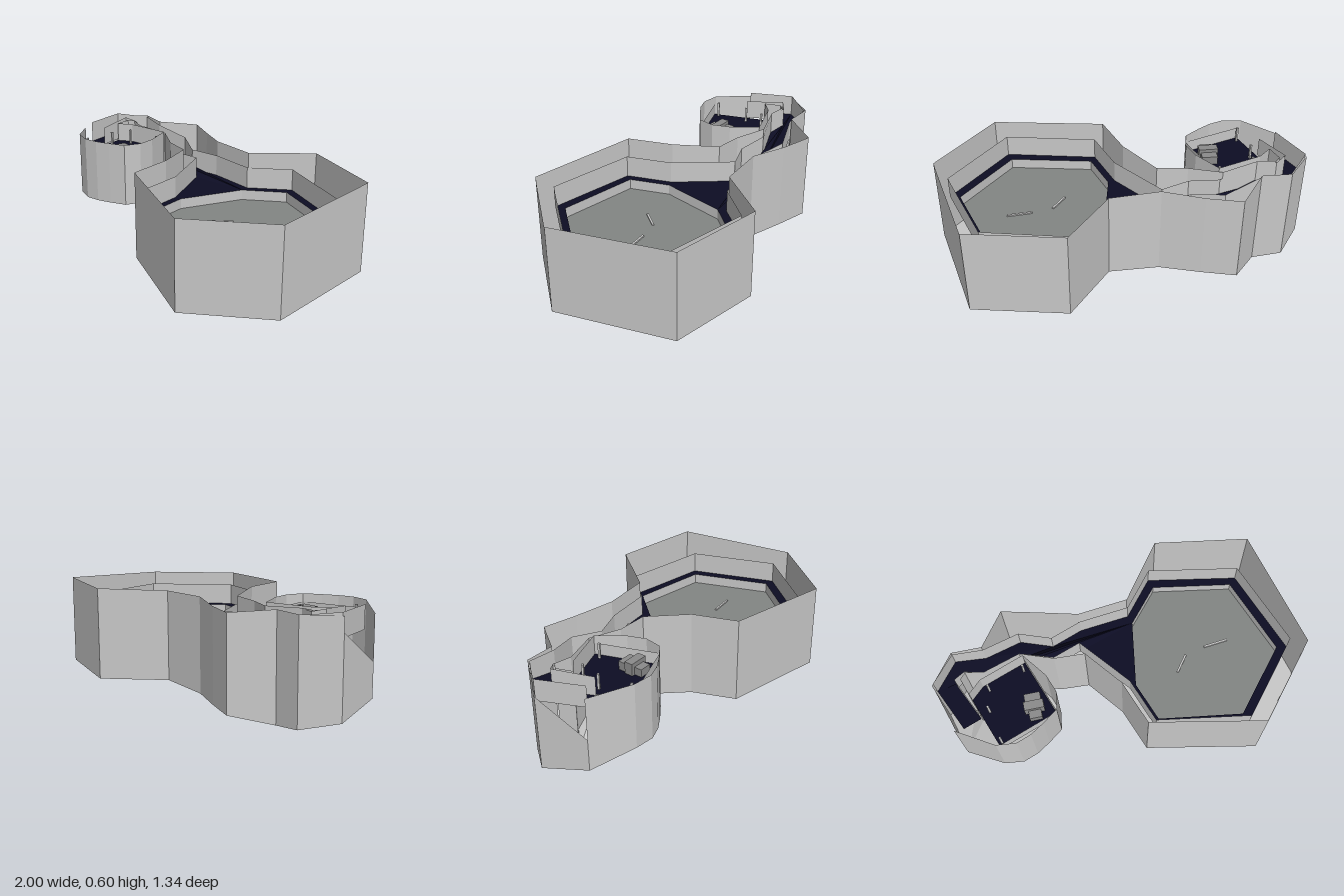
import * as THREE from 'three';

const mat = (name, color) => {
  const m = new THREE.MeshStandardMaterial({ color, flatShading: true, side: THREE.DoubleSide });
  m.name = name;
  return m;
};

// Flat-shaded geometry from a list of [x, y, z] triangle corners
function geoFrom(corners) {
  const g = new THREE.BufferGeometry();
  g.setAttribute('position', new THREE.Float32BufferAttribute(corners.flat(), 3));
  g.computeVertexNormals();
  return g;
}

// Surface over a plan outline; each point is [x, z, y]
function surface(outline, hole = []) {
  const v2 = (list) => list.map((p) => new THREE.Vector2(p[0], p[1]));
  const all = [...outline, ...hole];
  const faces = THREE.ShapeUtils.triangulateShape(v2(outline), hole.length ? [v2(hole)] : []);
  const corners = [];
  for (const [a, b, c] of faces) {
    const [p, q, r] = [all[a], all[b], all[c]];
    const turn = (q[0] - p[0]) * (r[1] - p[1]) - (q[1] - p[1]) * (r[0] - p[0]);
    for (const k of turn < 0 ? [p, q, r] : [p, r, q]) corners.push([k[0], k[2], k[1]]);
  }
  return geoFrom(corners);
}

// Thin upright wall along a plan path; each point is [x, z, low, high]
function wall(path, closed = false) {
  const corners = [];
  const n = closed ? path.length : path.length - 1;
  for (let i = 0; i < n; i++) {
    const [ax, az, al, ah] = path[i];
    const [bx, bz, bl, bh] = path[(i + 1) % path.length];
    corners.push([ax, al, az], [bx, bh, bz], [bx, bl, bz], [ax, al, az], [ax, ah, az], [bx, bh, bz]);
  }
  return geoFrom(corners);
}

export function createModel() {
  const root = new THREE.Group();
  root.name = 'arenaLevel';
  const stone = mat('pale stone', 0xc8c8c8);
  const dark = mat('dark floor', 0x0d0d24);
  const grey = mat('grey floor', 0x838684);
  const crateGrey = mat('crate grey', 0x8c8c8c);
  const add = (name, geometry, material) => {
    const m = new THREE.Mesh(geometry, material);
    m.name = name;
    root.add(m);
    return m;
  };

  // Outer shell: x, z, bottom, top
  const shell = [
    [0.53, -0.565, 0.075, 0.595], [1, -0.3, 0.075, 0.595], [0.93, 0.4, 0.05, 0.565],
    [0.47, 0.665, 0.05, 0.565], [-0.09, 0.33, 0.07, 0.585], [-0.09, 0.06, 0.065, 0.585],
    [-0.17, -0.2, 0.05, 0.57], [-0.33, -0.27, 0.05, 0.565], [-0.48, -0.395, 0.05, 0.57],
    [-0.7, -0.4, 0.0, 0.58], [-0.79, -0.45, 0.02, 0.585], [-0.83, -0.43, 0.05, 0.585],
    [-0.83, -0.33, 0.1, 0.585], [-0.74, -0.37, 0.16, 0.585], [-0.47, -0.37, 0.2, 0.585],
    [-0.42, -0.2, 0.2, 0.585], [-0.42, -0.09, 0.2, 0.585], [-0.47, 0, 0.2, 0.585],
    [-0.57, 0.03, 0.2, 0.585], [-0.66, 0.05, 0.2, 0.585], [-0.75, 0.05, 0.2, 0.585],
    [-0.85, 0, 0.2, 0.585], [-1, -0.2, 0.12, 0.555], [-0.98, -0.48, 0.055, 0.58],
    [-0.8, -0.595, 0.02, 0.585], [-0.64, -0.535, 0.0, 0.585], [-0.44, -0.675, 0.05, 0.57],
    [-0.27, -0.56, 0.05, 0.57], [-0.08, -0.42, 0.05, 0.585], [0.2, -0.35, 0.07, 0.585],
  ];
  const west = shell.findIndex((p) => p[0] === -1);
  add('outerWall', wall([...shell.slice(west + 1), ...shell.slice(0, west + 1)]), stone);
  // The west side is partly open at the top
  add('lowWestWall', wall([[-1, -0.2, 0.12, 0.31], [-0.98, -0.48, 0.055, 0.5]]), stone);
  add('underside', surface(shell.map(([x, z, low]) => [x, z, low])), stone);

  // Dark walkway around the pit, rising along the passage to the small room
  const level = (x) => 0.37 + 0.1 * THREE.MathUtils.clamp((-0.3 - x) / 0.5, 0, 1);
  const raise = ([x, z]) => [x, z, level(x)];
  const walkway = [
    [-0.95, -0.21], [-0.97, -0.48], [-0.8, -0.585], [-0.64, -0.525], [-0.42, -0.525],
    [-0.27, -0.41], [-0.08, -0.41], [0.2, -0.34], [0.43, -0.475], [0.88, -0.21], [0.88, 0.32],
    [0.43, 0.58], [-0.03, 0.32], [-0.03, 0.05], [-0.15, -0.3], [-0.32, -0.3], [-0.46, -0.4],
    [-0.7, -0.4], [-0.79, -0.46], [-0.86, -0.44], [-0.84, -0.21],
  ];
  const pit = [
    [0.2, -0.29], [0.43, -0.42], [0.83, -0.19], [0.83, 0.29],
    [0.43, 0.52], [0.01, 0.29], [0.01, 0.05],
  ];
  add('walkway', surface(walkway.map(raise), pit.map(raise)), dark);
  add('innerWall', wall(walkway.map(([x, z]) => [x, z, level(x), Math.min(level(x) + 0.127, x < -0.85 ? 0.6 : 0.58)])), stone);

  // Sunken hexagonal pit
  add('pitFloor', surface(pit.map(([x, z]) => [x, z, 0.31])), grey);
  add('pitWall', wall(pit.map(([x, z]) => [x, z, 0.31, 0.37]), true), stone);

  // Pale strips on the pit floor
  for (const [ax, az, bx, bz] of [[0.27, 0.095, 0.37, 0.03], [0.49, 0.045, 0.63, 0.08]]) {
    const strip = add('floorStrip', new THREE.BoxGeometry(Math.hypot(bx - ax, bz - az), 0.008, 0.012), stone);
    strip.position.set((ax + bx) / 2, 0.315, (az + bz) / 2);
    strip.rotation.y = -Math.atan2(bz - az, bx - ax);
  }

  // Small room with its back wall and posts
  const room = [[-0.83, -0.2], [-0.83, 0], [-0.47, 0], [-0.47, -0.37], [-0.74, -0.37], [-0.83, -0.33]];
  add('roomFloor', surface(room.map(([x, z]) => [x, z, 0.47])), dark);
  add('roomWall', wall(room.slice(1).map(([x, z]) => [x, z, 0.47, 0.54])), stone);
  for (const [x, z] of [[-0.81, -0.03], [-0.72, -0.33], [-0.5, -0.33], [-0.78, -0.22]]) {
    add('roomPost', new THREE.BoxGeometry(0.012, 0.09, 0.012), stone).position.set(x, 0.515, z);
  }

  // Stacked crates, turned at an angle
  const crates = new THREE.Group();
  crates.name = 'crateStack';
  crates.position.set(-0.56, 0.47, -0.105);
  crates.rotation.y = -0.35;
  for (const [z, w, h] of [[-0.05, 0.09, 0.05], [0, 0.11, 0.07], [0.045, 0.07, 0.045]]) {
    const crate = new THREE.Mesh(new THREE.BoxGeometry(w, h, 0.05), crateGrey);
    crate.name = 'crate';
    crate.position.set(0, h / 2, z);
    crates.add(crate);
  }
  root.add(crates);
  return root;
}
